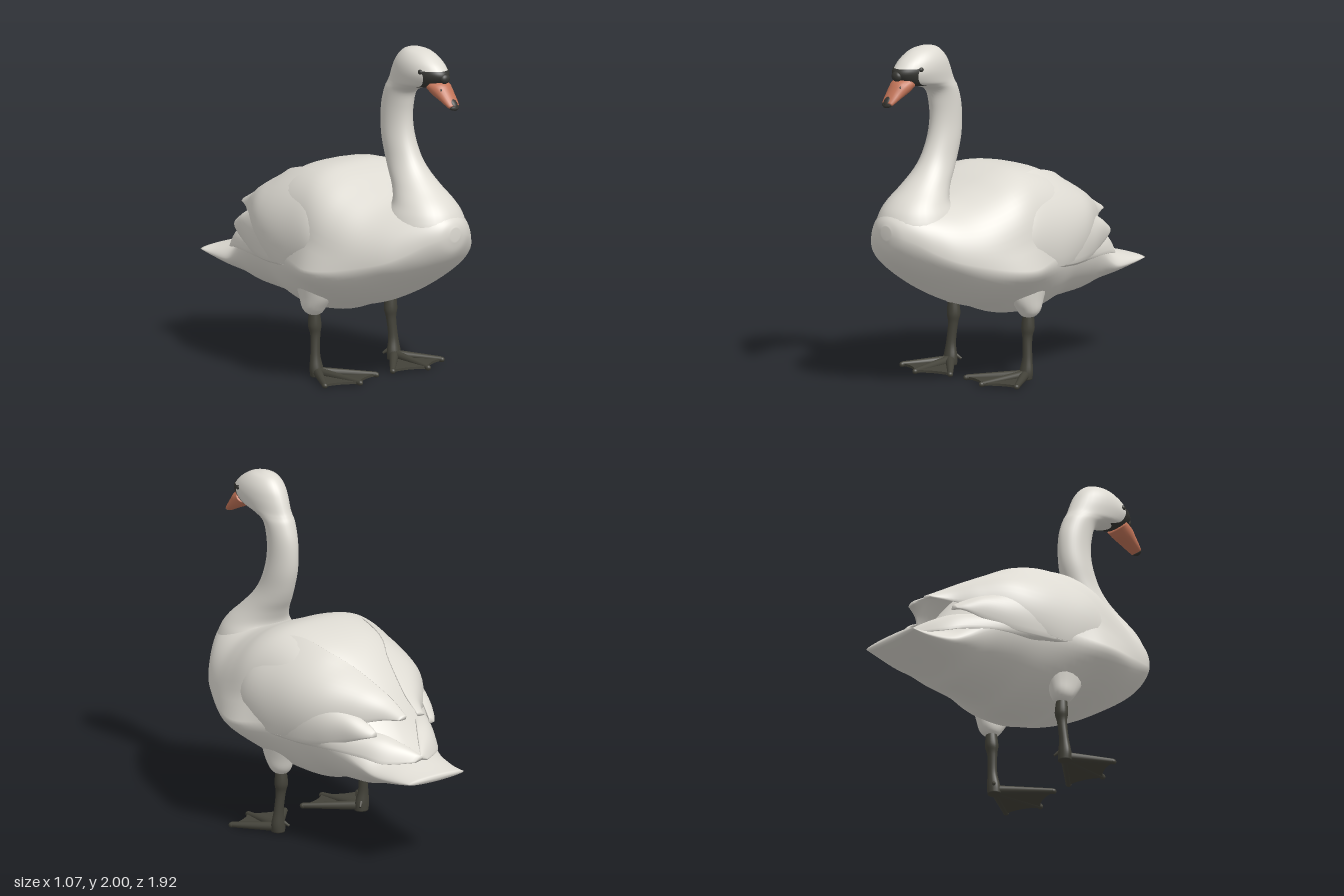
import * as THREE from 'three';

const mat = (name, color, side = THREE.FrontSide) => {
  const m = new THREE.MeshStandardMaterial({ color, side });
  m.name = name;
  return m;
};

// Resamples a small table of rows smoothly, column by column
function smooth(rows, steps) {
  const out = [];
  const at = i => rows[Math.max(0, Math.min(rows.length - 1, i))];
  for (let i = 0; i < rows.length - 1; i++) {
    for (let s = 0; s < steps; s++) {
      const t = s / steps;
      out.push(rows[i].map((p1, c) => {
        const p0 = at(i - 1)[c], p2 = at(i + 1)[c], p3 = at(i + 2)[c];
        return p1 + 0.5 * t * (p2 - p0 + t * (2 * p0 - 5 * p1 + 4 * p2 - p3 + t * (3 * (p1 - p2) + p3 - p0)));
      }));
    }
  }
  out.push(rows[rows.length - 1]);
  return out;
}

// Skins rings of [x, y, z]; closed rings are capped and turned to face outward
function loft(rings, closed = true) {
  const n = rings[0].length, pos = rings.flat(), idx = [];
  for (let r = 0; r < rings.length - 1; r++) {
    for (let k = 0; k < (closed ? n : n - 1); k++) {
      const a = r * n + k, b = r * n + (k + 1) % n;
      idx.push(a, b, a + n, b, b + n, a + n);
    }
  }
  if (closed) {
    [0, rings.length - 1].forEach((r, end) => {
      const c = pos.length;
      pos.push([0, 1, 2].map(j => rings[r].reduce((s, p) => s + p[j], 0) / n));
      for (let k = 0; k < n; k++) {
        const a = r * n + k, b = r * n + (k + 1) % n;
        idx.push(...(end ? [c, a, b] : [c, b, a]));
      }
    });
    let volume = 0;
    const v = pos.map(p => new THREE.Vector3(...p));
    for (let i = 0; i < idx.length; i += 3) {
      volume += v[idx[i]].dot(v[idx[i + 1]].clone().cross(v[idx[i + 2]]));
    }
    if (volume < 0) idx.reverse();
  }
  const g = new THREE.BufferGeometry();
  g.setAttribute('position', new THREE.Float32BufferAttribute(pos.flat(), 3));
  g.setIndex(idx);
  g.computeVertexNormals();
  return g;
}

const ring = (n, f) => Array.from({ length: n }, (_, i) => f(i / n * Math.PI * 2));
const spow = (v, e) => Math.sign(v) * Math.pow(Math.abs(v), e);

export function createModel() {
  const group = new THREE.Group();
  const white = mat('white plumage', 0xdedbd3);
  const black = mat('black mask', 0x363632, THREE.DoubleSide);
  const orange = mat('orange bill', 0xc27458);
  const dark = mat('dark leg skin', 0x434239);
  const add = (name, geo, m, parent = group) => {
    const mesh = new THREE.Mesh(geo, m);
    mesh.name = name;
    parent.add(mesh);
    return mesh;
  };
  const ball = (name, m, p, s, parent = group) => {
    const mesh = add(name, new THREE.SphereGeometry(1, 20, 14), m, parent);
    mesh.position.set(...p);
    mesh.scale.set(...s);
    return mesh;
  };

  // Body and tail: z, top, bottom, half width, widest height, upper roundness
  const body = smooth([
    [0.95, 0.98, 0.90, 0.04, 0.94, 2], [0.93, 1.02, 0.83, 0.105, 0.92, 2],
    [0.88, 1.06, 0.76, 0.18, 0.89, 2], [0.8, 1.08, 0.69, 0.27, 0.83, 2],
    [0.7, 1.09, 0.62, 0.355, 0.78, 2], [0.55, 1.10, 0.525, 0.43, 0.74, 2.2],
    [0.4, 1.15, 0.455, 0.475, 0.71, 2.6], [0.25, 1.21, 0.41, 0.49, 0.70, 3],
    [0.1, 1.24, 0.36, 0.47, 0.72, 3], [-0.1, 1.21, 0.345, 0.44, 0.75, 2.7],
    [-0.25, 1.14, 0.385, 0.40, 0.74, 2.3], [-0.4, 1.00, 0.40, 0.36, 0.70, 2],
    [-0.5, 0.88, 0.41, 0.32, 0.65, 1.8], [-0.6, 0.75, 0.445, 0.28, 0.59, 1.7],
    [-0.7, 0.66, 0.47, 0.25, 0.55, 1.7], [-0.85, 0.605, 0.505, 0.215, 0.545, 2],
    [-0.96, 0.575, 0.54, 0.2, 0.557, 2.2],
  ], 5);
  add('body', loft(body.map(([z, top, bot, w, yw, n]) => ring(64, a => {
    const c = Math.cos(a), s = Math.sin(a), e = 2 / (s > 0 ? n : 1.85);
    const y = yw + (s > 0 ? top - yw : yw - bot) * spow(s, e);
    // Soft ridge along the bend of the folded wing
    const ridge = 0.048 * Math.exp(-(((y - 0.68) / 0.1) ** 2) - ((z - 0.25) / 0.24) ** 2);
    return [w * spow(c, e) + ridge * c, y, z];
  }))), white);

  // Neck and head: height, front z, back z, half width
  const neck = smooth([
    [0.75, 0.68, 0.40, 0.16], [0.86, 0.85, 0.40, 0.22], [0.95, 0.935, 0.42, 0.235],
    [1.03, 0.92, 0.46, 0.212], [1.10, 0.87, 0.50, 0.175], [1.18, 0.78, 0.475, 0.135],
    [1.26, 0.695, 0.43, 0.108], [1.34, 0.635, 0.395, 0.092], [1.44, 0.59, 0.365, 0.085],
    [1.54, 0.57, 0.355, 0.08], [1.64, 0.575, 0.362, 0.08], [1.73, 0.605, 0.39, 0.084],
    [1.77, 0.70, 0.41, 0.09], [1.80, 0.815, 0.425, 0.10], [1.86, 0.866, 0.45, 0.11],
    [1.91, 0.835, 0.475, 0.106], [1.95, 0.785, 0.505, 0.09], [1.98, 0.73, 0.54, 0.064],
    [1.995, 0.67, 0.58, 0.03], [2.0, 0.635, 0.615, 0.008],
  ], 5);
  const neckPoint = ([y, zf, zb, w], a, k = 1) =>
    [w * k * Math.sin(a), y, (zf + zb) / 2 + (zf - zb) / 2 * k * Math.cos(a)];
  add('neckAndHead', loft(neck.map(r => ring(36, a => neckPoint(r, a)))), white);

  // Black face mask, knob and eyes
  const maskRows = neck.filter(r => r[0] > 1.775 && r[0] < 1.892);
  add('faceMask', loft(maskRows.map((r, i) => {
    const span = 0.8 + 0.24 * i / (maskRows.length - 1);
    return Array.from({ length: 25 }, (_, k) => neckPoint(r, (k / 12 - 1) * span, 1.025));
  }), false), black);
  ball('billKnob', black, [0, 1.848, 0.862], [0.034, 0.03, 0.024]);

  // Bill: z, height, half width, half thickness, sloping downward to a black tip
  const bill = smooth([
    [0.79, 1.805, 0.074, 0.045], [0.835, 1.779, 0.068, 0.052], [0.88, 1.744, 0.056, 0.038],
    [0.92, 1.711, 0.046, 0.025], [0.946, 1.689, 0.034, 0.016], [0.956, 1.68, 0.012, 0.007],
  ], 4).map(([z, y, w, t]) => ring(24, a =>
    [w * Math.cos(a), y + t * 0.72 * Math.sin(a), z + t * 0.69 * Math.sin(a)]));
  add('bill', loft(bill.slice(0, 16)), orange);
  add('billTip', loft(bill.slice(15)), black);
  ball('billNail', black, [0, 1.717, 0.931], [0.025, 0.038, 0.016]).rotation.x = -0.75;

  // Folded wing layers: z, then x and y of upper edge, outer bulge and lower edge
  const layers = {
    upperWing: [
      [0.35, 0.33, 1.05, 0.43, 0.92, 0.47, 0.78], [0.2, 0.30, 1.17, 0.463, 0.98, 0.485, 0.74],
      [0, 0.24, 1.21, 0.452, 0.98, 0.47, 0.68], [-0.2, 0.20, 1.17, 0.42, 0.97, 0.43, 0.70],
      [-0.35, 0.13, 1.10, 0.35, 0.98, 0.37, 0.74], [-0.5, 0.08, 1.02, 0.23, 0.96, 0.27, 0.81],
      [-0.62, 0.05, 0.95, 0.13, 0.92, 0.16, 0.85], [-0.73, 0.045, 0.885, 0.075, 0.88, 0.095, 0.865],
    ],
    secondaryFeathers: [
      [0.15, 0.43, 0.90, 0.475, 0.80, 0.47, 0.69], [-0.15, 0.42, 0.95, 0.452, 0.82, 0.44, 0.67],
      [-0.35, 0.34, 0.93, 0.395, 0.82, 0.38, 0.68], [-0.5, 0.25, 0.88, 0.32, 0.83, 0.315, 0.72],
      [-0.6, 0.21, 0.83, 0.262, 0.80, 0.27, 0.755], [-0.65, 0.20, 0.795, 0.22, 0.785, 0.23, 0.77],
    ],
    primaryFeathers: [
      [0, 0.41, 0.73, 0.465, 0.69, 0.44, 0.655], [-0.2, 0.36, 0.74, 0.425, 0.70, 0.40, 0.65],
      [-0.4, 0.28, 0.77, 0.35, 0.735, 0.36, 0.66], [-0.6, 0.14, 0.765, 0.235, 0.735, 0.275, 0.645],
      [-0.72, 0.06, 0.715, 0.14, 0.70, 0.20, 0.62], [-0.82, 0, 0.655, 0.02, 0.65, 0.05, 0.625],
    ],
  };
  for (const side of [1, -1]) {
    for (const [name, rows] of Object.entries(layers)) {
      const rings = smooth(rows, 6).map(([z, x0, y0, x1, y1, x2, y2]) => {
        const arc = Array.from({ length: 13 }, (_, i) => {
          const t = i / 12, a = (1 - t) * (1 - 2 * t), b = 4 * t * (1 - t), c = t * (2 * t - 1);
          return [x0 * a + x1 * b + x2 * c, y0 * a + y1 * b + y2 * c];
        });
        const inner = arc.map(([x, y], i) => {
          const d = 0.006 + 0.022 * Math.sin(i / 12 * Math.PI);
          return [x - d, y - d * 0.6];
        }).reverse();
        return [...arc, ...inner].map(([x, y]) => [side * x, y, z]);
      });
      add(name, loft(rings), white);
    }

    ball('eye', black, [side * 0.094, 1.885, 0.755], [0.012, 0.014, 0.016]);
    ball('nostril', black, [side * 0.042, 1.785, 0.873], [0.006, 0.012, 0.008]);

    // Thigh, shank and ankle: height, centre x, centre z, radii
    const limb = rows => loft(smooth(rows, 5).map(([y, x, z, rx, rz]) =>
      ring(18, a => [side * (x + rx * Math.cos(a)), y, z + rz * Math.sin(a)])));
    add('thigh', limb([
      [0.60, 0.30, 0.10, 0.10, 0.16], [0.49, 0.31, 0.105, 0.074, 0.115],
      [0.42, 0.31, 0.095, 0.064, 0.078], [0.385, 0.307, 0.093, 0.046, 0.05],
      [0.37, 0.305, 0.095, 0.02, 0.02],
    ]), white);
    add('leg', limb([
      [0.40, 0.305, 0.095, 0.03, 0.03], [0.31, 0.302, 0.095, 0.04, 0.038],
      [0.25, 0.302, 0.10, 0.03, 0.028], [0.14, 0.31, 0.108, 0.03, 0.027],
      [0.06, 0.308, 0.115, 0.043, 0.036], [0.01, 0.305, 0.12, 0.04, 0.04],
    ]), dark);

    // Webbed foot with three front toes and a small hind toe
    const foot = new THREE.Group();
    foot.name = 'foot';
    group.add(foot);
    const tips = [[0.065, 0.36], [0.27, 0.44], [0.465, 0.35]];
    const web = new THREE.Shape();
    web.moveTo(side * 0.305, -0.10);
    web.lineTo(side * tips[0][0], -tips[0][1]);
    web.quadraticCurveTo(side * 0.19, -0.36, side * tips[1][0], -tips[1][1]);
    web.quadraticCurveTo(side * 0.36, -0.35, side * tips[2][0], -tips[2][1]);
    const webGeo = new THREE.ExtrudeGeometry(web, { depth: 0.014, bevelEnabled: false });
    webGeo.rotateX(-Math.PI / 2).translate(0, 0.013, 0);
    add('web', webGeo, dark, foot);
    const toe = (name, from, to, r0, r1) => {
      const a = new THREE.Vector3(...from), b = new THREE.Vector3(...to), d = b.clone().sub(a);
      const mesh = add(name, new THREE.CylinderGeometry(r1, r0, d.length(), 12), dark, foot);
      mesh.position.copy(a).add(b).multiplyScalar(0.5);
      mesh.quaternion.setFromUnitVectors(new THREE.Vector3(0, 1, 0), d.normalize());
    };
    for (const [x, z] of tips) {
      toe('toe', [side * 0.305, 0.038, 0.12], [side * x, 0.022, z], 0.028, 0.016);
      ball('claw', dark, [side * x, 0.02, z], [0.016, 0.016, 0.018], foot);
    }
    toe('hindToe', [side * 0.3, 0.08, 0.11], [side * 0.26, 0.045, 0.075], 0.016, 0.007);
  }
  return group;
}
